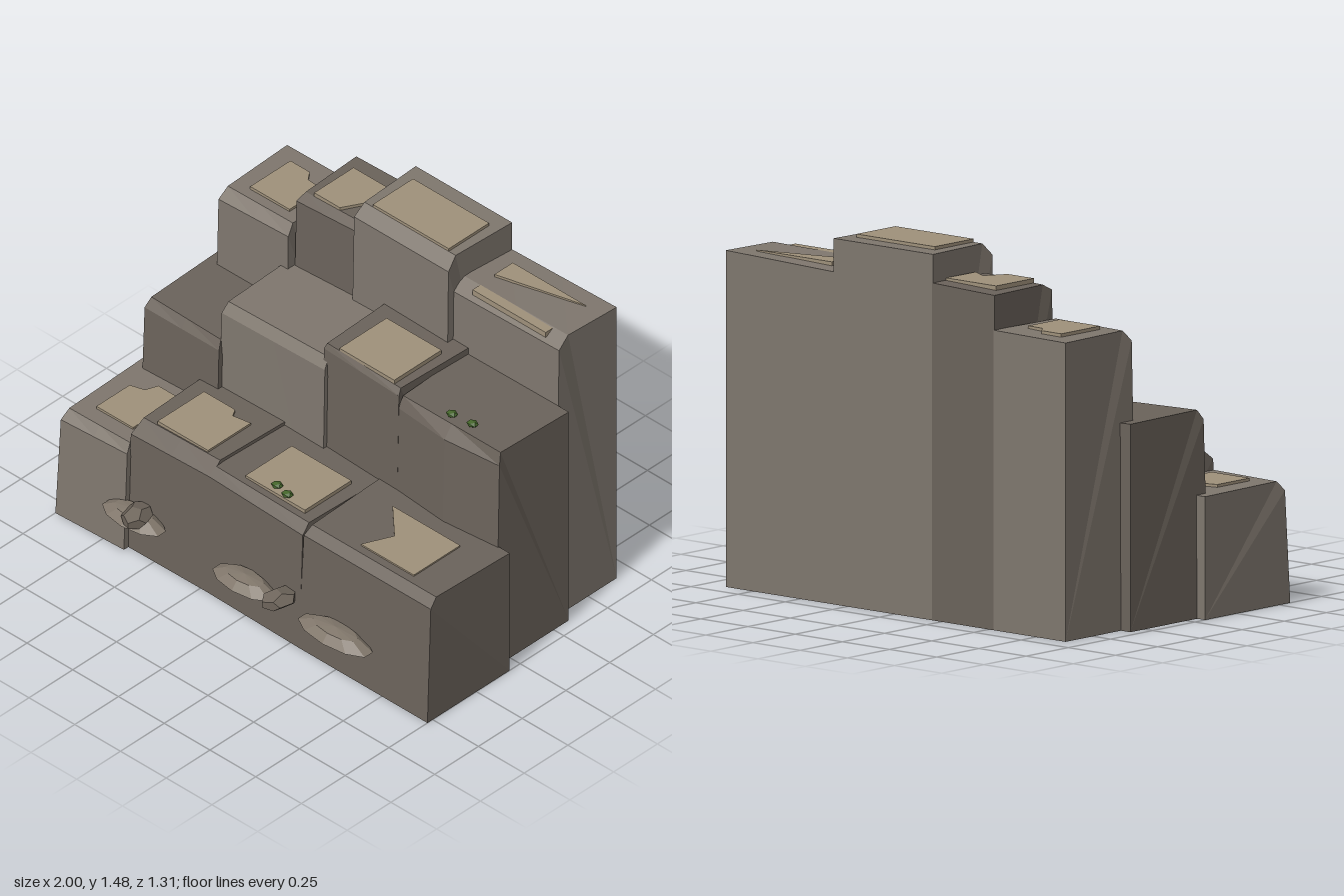
import * as THREE from 'three';

const mat = (color) => new THREE.MeshStandardMaterial({ color, flatShading: true, side: THREE.DoubleSide });
const LIGHT = mat(0x7f776e), DARK = mat(0x6b635b), TAN = mat(0x9f917b), ROCK = mat(0x6f665c), LEDGE = mat(0x81776b), GREEN = mat(0x44652a);

// Stone block: a bevelled, slightly battered side profile swept over left, middle and right sections
function blockGeometry({ x, h, back, lip, front, drop, bulge = 0, backH = h }) {
  const lerp = (p, t) => p[0] + (p[1] - p[0]) * t;
  const sections = [0, 0.5, 1].map((t) => {
    const px = lerp(x, t), y = lerp(h, t), inset = 0.014 * (1 - 2 * t);
    const zf = lerp(front, t) + (t === 0.5 ? bulge : 0);
    return [
      [px, 0, back],
      [px, lerp(backH, t), back],
      [px + inset, y, lip],
      [px + inset * 0.4, y - drop, zf - 0.025],
      [px, 0, zf],
    ];
  });
  const pos = [];
  const tri = (...pts) => pts.forEach((p) => pos.push(...p));
  for (let s = 0; s < 2; s++) {
    for (let k = 0; k < 5; k++) {
      const n = (k + 1) % 5, A = sections[s], B = sections[s + 1];
      tri(A[k], A[n], B[n]);
      tri(A[k], B[n], B[k]);
    }
  }
  for (let k = 1; k < 4; k++) {
    tri(sections[2][0], sections[2][k], sections[2][k + 1]);
    tri(sections[0][0], sections[0][k + 1], sections[0][k]);
  }
  const g = new THREE.BufferGeometry();
  g.setAttribute('position', new THREE.Float32BufferAttribute(pos, 3));
  g.computeVertexNormals();
  return g;
}

// Thin worn slab from an outline of [x, z] corners
function slabGeometry(points, top) {
  const shape = new THREE.Shape(points.map(([x, z]) => new THREE.Vector2(x, -z)));
  const g = new THREE.ExtrudeGeometry(shape, { depth: 0.025, bevelEnabled: false });
  return g.rotateX(-Math.PI / 2).translate(0, top - 0.025, 0);
}

const rect = (x0, x1, z0, z1) => [[x0, z0], [x0, z1], [x1, z1], [x1, z0]];

export function createModel() {
  const model = new THREE.Group();
  const add = (parent, name, geometry, material) => {
    const mesh = new THREE.Mesh(geometry, material);
    mesh.name = name;
    parent.add(mesh);
    return mesh;
  };
  const group = (name) => {
    const g = new THREE.Group();
    g.name = name;
    model.add(g);
    return g;
  };

  // Three stepped rows of blocks
  const rows = {
    frontRow: [
      { x: [-1, -0.64], h: [0.495, 0.5], lip: 0.5, front: [0.565, 0.55], drop: 0.04, mat: LIGHT },
      { x: [-0.655, -0.21], h: [0.595, 0.605], lip: 0.435, front: [0.525, 0.52], drop: 0.05 },
      { x: [-0.235, 0.3], h: [0.59, 0.58], lip: 0.46, front: [0.52, 0.53], drop: 0.035 },
      { x: [0.295, 1], h: [0.585, 0.585], lip: 0.465, front: [0.53, 0.53], drop: 0.035 },
    ].map((b) => ({ ...b, back: 0.06 })),
    middleRow: [
      { x: [-0.958, -0.55], h: [0.835, 0.825], lip: 0.075, front: [0.13, 0.12], drop: 0.04 },
      { x: [-0.57, 0.005], h: [1.0, 1.015], lip: 0.04, front: [0.095, 0.095], drop: 0.045, mat: LIGHT },
      { x: [-0.03, 0.4], h: [1.08, 1.07], lip: 0.04, front: [0.075, 0.085], drop: 0.025 },
      { x: [0.385, 0.945], h: [1.04, 1.04], lip: 0.04, front: [0.085, 0.08], drop: 0.055, bulge: 0.025 },
    ].map((b) => ({ ...b, back: -0.335 })),
    backRow: [
      { x: [-0.908, -0.525], h: [1.2, 1.205], lip: -0.31, front: [-0.24, -0.25], drop: 0.045, mat: LIGHT },
      { x: [-0.53, -0.2], h: [1.345, 1.355], lip: -0.36, front: [-0.29, -0.3], drop: 0.025 },
      { x: [-0.205, 0.322], h: [1.47, 1.47], lip: -0.355, front: [-0.28, -0.28], drop: 0.05, mat: LIGHT },
      { x: [0.3, 0.893], h: [1.345, 1.352], backH: [1.335, 1.352], lip: -0.4, front: [-0.31, -0.315], drop: 0.04, mat: LIGHT },
    ].map((b) => ({ ...b, back: -0.663 })),
  };
  for (const [rowName, blocks] of Object.entries(rows)) {
    const row = group(rowName);
    blocks.forEach((b, i) => add(row, `block${i + 1}`, blockGeometry(b), b.mat ?? DARK));
  }

  // Worn tread slabs, some with broken corners
  const slabs = group('treadSlabs');
  [
    [[[-0.905, 0.24], [-0.905, 0.43], [-0.705, 0.43], [-0.705, 0.165], [-0.82, 0.165], [-0.84, 0.22]], 0.508],
    [[[-0.57, 0.165], [-0.57, 0.43], [-0.295, 0.43], [-0.295, 0.185], [-0.38, 0.2], [-0.4, 0.165]], 0.613],
    [rect(-0.09, 0.235, 0.165, 0.43), 0.598],
    [[[0.46, 0.165], [0.6, 0.3], [0.54, 0.43], [0.83, 0.43], [0.83, 0.165]], 0.592],
    [rect(0.05, 0.35, -0.23, 0.04), 1.09],
    [[[-0.815, -0.585], [-0.815, -0.355], [-0.6, -0.355], [-0.6, -0.54], [-0.68, -0.545], [-0.71, -0.585]], 1.215],
    [[[-0.47, -0.585], [-0.47, -0.36], [-0.33, -0.36], [-0.28, -0.45], [-0.205, -0.41], [-0.205, -0.585]], 1.365],
    [rect(-0.145, 0.27, -0.585, -0.355), 1.483],
    [[[0.4, -0.585], [0.4, -0.48], [0.8, -0.585]], 1.355],
    [rect(0.4, 0.8, -0.4, -0.355), 1.348],
  ].forEach(([outline, top], i) => add(slabs, `treadSlab${i + 1}`, slabGeometry(outline, top), TAN));

  // Flat-bottomed ledges low on the front wall
  const ledges = group('ledges');
  const dome = [[0, 0], [1, 0], [0.6, 0.8], [0, 1]].map(([x, y]) => new THREE.Vector2(x, y));
  [[-0.575, 0.16], [0.03, 0.162], [0.525, 0.192]].forEach(([x, w], i) => {
    const g = new THREE.LatheGeometry(dome, 10).scale(w, 0.045, 0.075).translate(x, 0.2, 0.56);
    add(ledges, `ledge${i + 1}`, g, LEDGE);
  });

  // Loose rocks on the ledges
  const rocks = group('looseRocks');
  [[-0.545, 0.3], [0.232, -0.25]].forEach(([x, turn], i) => {
    const rock = add(rocks, `rock${i + 1}`, new THREE.DodecahedronGeometry(1, 0), ROCK);
    rock.scale.set(0.06, 0.038, 0.085);
    rock.rotation.y = turn;
    rock.position.set(x, 0.237, 0.575);
  });

  // Small moss tufts
  const moss = group('mossTufts');
  [[0.05, 0.606, 0.395], [0.12, 0.606, 0.41], [0.637, 1.06, 0.01], [0.74, 1.06, 0]].forEach((p, i) => {
    const tuft = add(moss, `mossTuft${i + 1}`, new THREE.IcosahedronGeometry(1, 0), GREEN);
    tuft.scale.set(0.027, 0.014, 0.022);
    tuft.position.set(...p);
  });

  return model;
}
